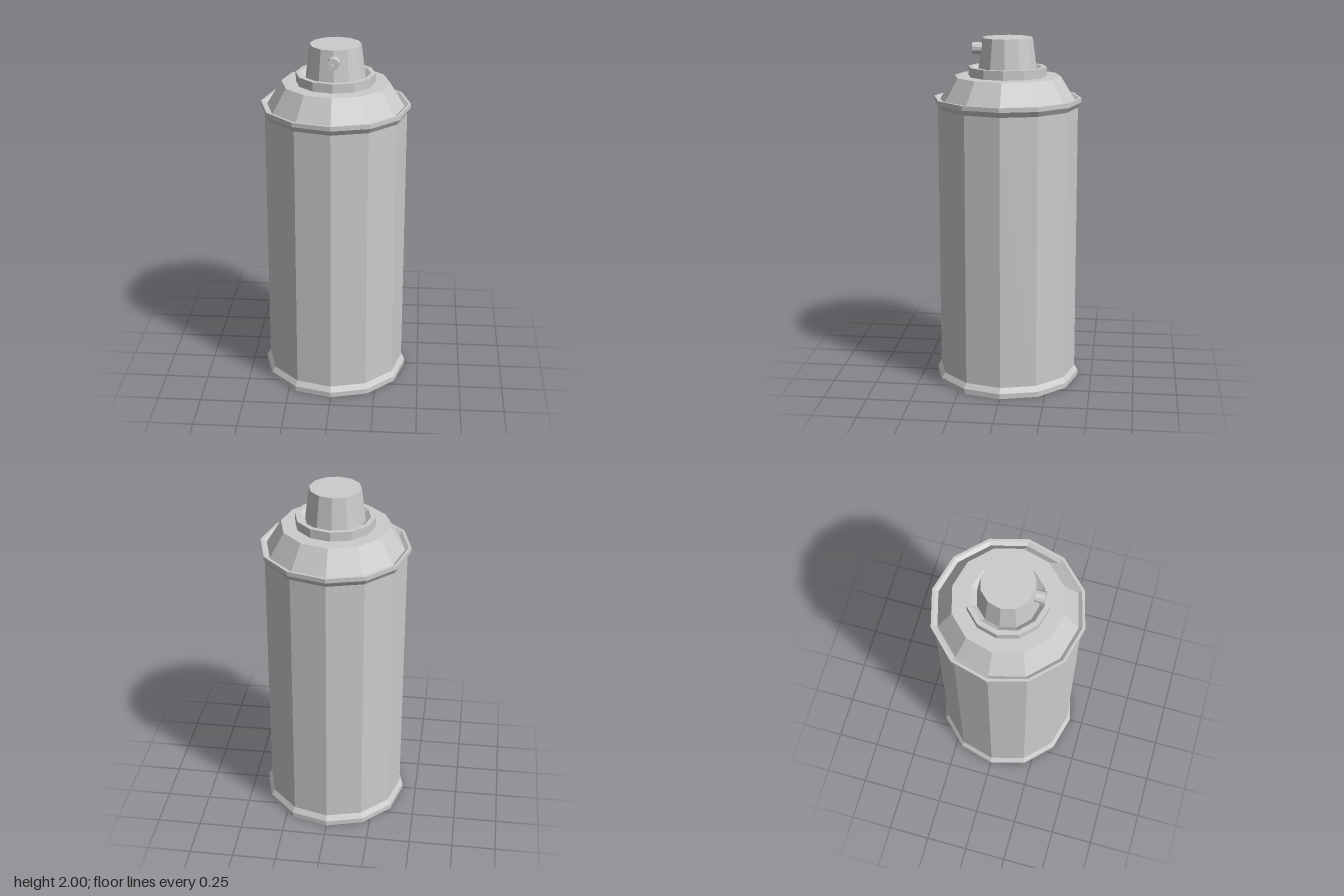
import * as THREE from 'three';

const material = new THREE.MeshStandardMaterial({ color: 0xcccccc, flatShading: true });

// Faceted turned part from [radius, height] pairs, listed from the base upwards
function turned(name, profile, sides = 12) {
  const points = profile.map(([r, y]) => new THREE.Vector2(r, y));
  const mesh = new THREE.Mesh(new THREE.LatheGeometry(points, sides), material);
  mesh.name = name;
  return mesh;
}

export function createModel() {
  const model = new THREE.Group();
  model.name = 'sprayCan';

  // Can with recessed underside and a flared rim at both ends
  model.add(turned('canBody', [
    [0, 0.03], [0.345, 0.03], [0.395, 0], [0.42, 0], [0.42, 0.03], [0.4, 0.06],
    [0.4, 1.61], [0.42, 1.64], [0.42, 1.665], [0.405, 1.665], [0.385, 1.65],
  ]));

  // Sloped shoulder rising out of the rim groove
  model.add(turned('shoulder', [[0.385, 1.65], [0.302, 1.785], [0.222, 1.785]]));

  // Valve collar with a funnel-shaped recess around the button
  model.add(turned('valveCollar', [
    [0.222, 1.785], [0.222, 1.837], [0.195, 1.837], [0.167, 1.81], [0, 1.81],
  ]));

  // Tapered push button
  model.add(turned('sprayButton', [[0.167, 1.81], [0.143, 2], [0, 2]]));

  // Spout with a small bore, pointing to the front
  const spout = turned('spout', [
    [0.033, 0], [0.033, 0.075], [0.008, 0.075], [0.008, 0.05], [0, 0.05],
  ], 10);
  spout.rotation.x = Math.PI / 2;
  spout.position.set(0, 1.938, 0.122);
  model.add(spout);

  return model;
}
